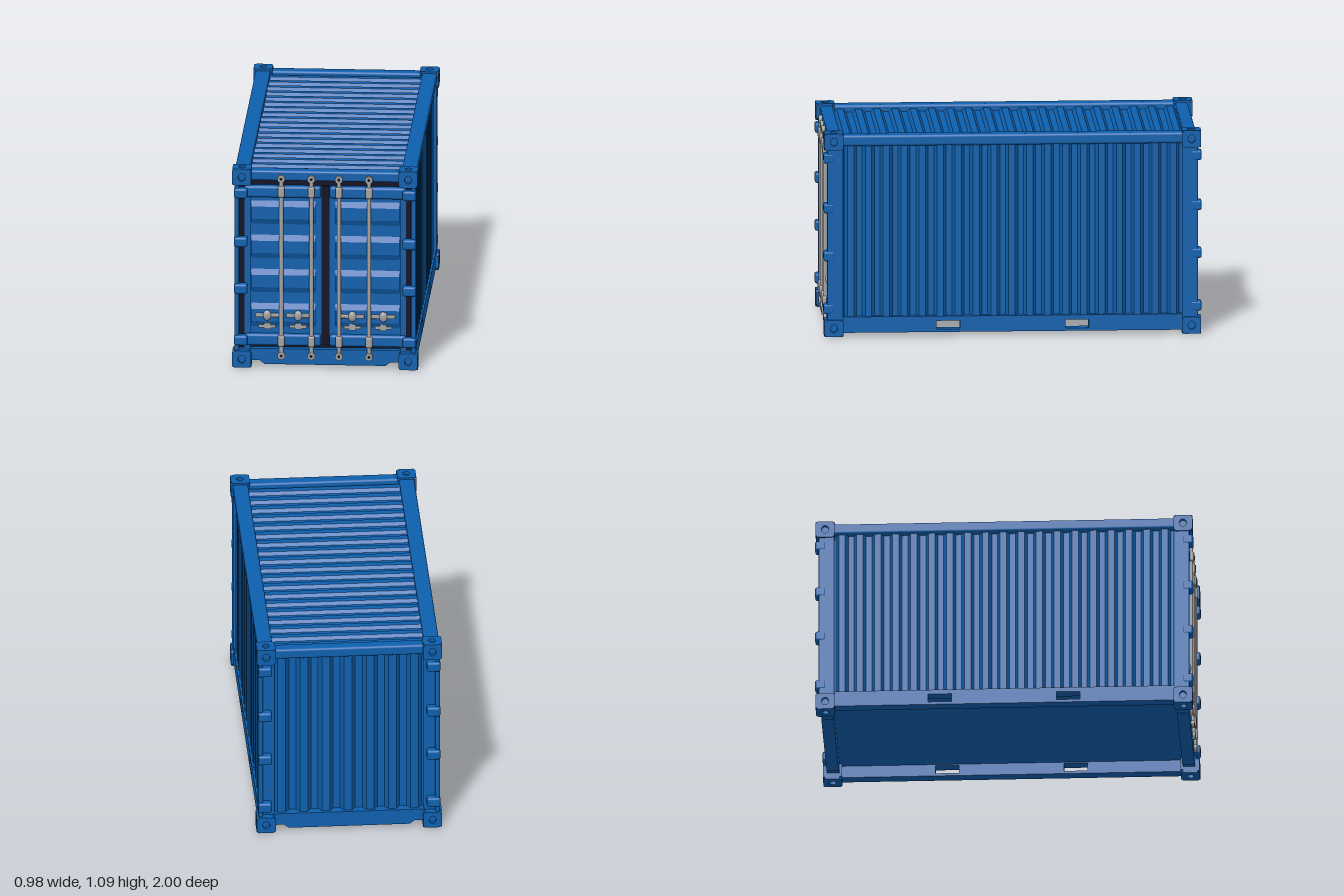
import * as THREE from 'three';
import { RoundedBoxGeometry } from 'three/addons/geometries/RoundedBoxGeometry.js';

const mat = (name, color) => {
  const m = new THREE.MeshStandardMaterial({ color });
  m.name = name;
  return m;
};

export function createModel() {
  const blue = mat('containerBlue', 0x0e60ae);
  const steel = mat('steelGrey', 0xa3a3a3);
  const gasket = mat('darkGasket', 0x0e0c22);

  const root = new THREE.Group();
  root.name = 'shippingContainer';

  const add = (name, geo, material, x = 0, y = 0, z = 0, parent = root) => {
    const m = new THREE.Mesh(geo, material);
    m.name = name;
    m.position.set(x, y, z);
    parent.add(m);
    return m;
  };
  // Box given by its min and max on each axis, with optional rounded edges
  const block = (name, material, [x0, x1], [y0, y1], [z0, z1], r = 0, parent = root) => {
    const s = [x1 - x0, y1 - y0, z1 - z0];
    const geo = r ? new RoundedBoxGeometry(...s, 2, r) : new THREE.BoxGeometry(...s);
    return add(name, geo, material, (x0 + x1) / 2, (y0 + y1) / 2, (z0 + z1) / 2, parent);
  };
  // Range from a to b, mirrored when s is negative
  const span = (s, a, b) => (s > 0 ? [a, b] : [-b, -a]);
  const polygon = (pts) => new THREE.Shape(pts.map(([x, y]) => new THREE.Vector2(x, y)));
  const extrude = (shape, depth) => new THREE.ExtrudeGeometry(shape, { depth, bevelEnabled: false, curveSegments: 8 });

  // Corrugated sheet: waves run along x, rise towards y, and extend along z
  const corrugated = (width, length, count, rise) => {
    const p = width / count;
    const pts = [[-width / 2, -0.012]];
    for (let i = 0; i < count; i++) {
      const u = -width / 2 + i * p;
      pts.push([u, 0], [u + p * 0.2, 0], [u + p * 0.36, rise], [u + p * 0.72, rise], [u + p * 0.88, 0]);
    }
    pts.push([width / 2, 0], [width / 2, -0.012]);
    const g = extrude(polygon(pts), length);
    g.translate(0, 0, -length / 2);
    return g;
  };

  // Corner casting: solid core with pierced plates on its three outer faces
  const pierced = (w, h, t) => {
    const c = 0.012, a = w / 2, b = h / 2;
    const s = polygon([[-a + c, -b], [a - c, -b], [a, -b + c], [a, b - c],
      [a - c, b], [-a + c, b], [-a, b - c], [-a, -b + c]]);
    const hole = new THREE.Path();
    hole.absellipse(0, 0, 0.019, 0.022, 0, Math.PI * 2, true);
    s.holes.push(hole);
    return extrude(s, t).translate(0, 0, -t / 2);
  };
  const T = 0.018;
  for (const sx of [-1, 1]) for (const sz of [-1, 1]) for (const top of [0, 1]) {
    const g = new THREE.Group();
    g.name = 'cornerCasting';
    g.position.set(sx * 0.44, top ? 1.045 : 0.045, sz * 0.945);
    root.add(g);
    const sy = top ? 1 : -1;
    add('castingCore', new THREE.BoxGeometry(0.1 - T, 0.09 - T, 0.1 - T), blue,
      -sx * T / 2, -sy * T / 2, -sz * T / 2, g);
    add('castingEndPlate', pierced(0.1, 0.09, T), blue, 0, 0, sz * (0.05 - T / 2), g);
    add('castingSidePlate', pierced(0.1, 0.09, T).rotateY(Math.PI / 2), blue, sx * (0.05 - T / 2), 0, 0, g);
    add('castingFlatPlate', pierced(0.1, 0.1, T).rotateX(Math.PI / 2), blue, 0, sy * (0.045 - T / 2), 0, g);
  }

  // Corner posts, stepped towards the ends, with hinge lugs
  for (const sx of [-1, 1]) for (const sz of [-1, 1]) {
    block('cornerPost', blue, span(sx, 0.455, 0.48), [0.08, 1.01], span(sz, 0.895, 0.98), 0.008);
    block('cornerPostInner', blue, span(sx, 0.395, 0.465), [0.08, 1.01], span(sz, 0.9, 0.958));
    for (const y of [0.147, 0.43, 0.687, 0.955])
      block('hingeLug', blue, span(sx, 0.41, 0.482), [y - 0.027, y + 0.027], span(sz, 0.94, 0.999), 0.012);
  }

  // Bottom side rails with open fork pockets, top side rails, side walls
  for (const sx of [-1, 1]) {
    const rail = polygon([[-0.9, 0.02], [0.9, 0.02], [0.9, 0.105], [-0.9, 0.105]]);
    for (const z of [-0.34, 0.34]) {
      const h = new THREE.Path();
      h.moveTo(z - 0.062, 0.035).lineTo(z - 0.062, 0.08).lineTo(z + 0.062, 0.08).lineTo(z + 0.062, 0.035).closePath();
      rail.holes.push(h);
    }
    add('bottomSideRail', extrude(rail, 0.06).translate(0, 0, -0.03).rotateY(Math.PI / 2), blue, sx * 0.447);
    block('topSideRail', blue, span(sx, 0.4, 0.48), [1.02, 1.08], [-0.91, 0.91], 0.014);
    const wall = corrugated(1.8, 0.94, 19, 0.024).rotateX(-Math.PI / 2).rotateY(-sx * Math.PI / 2);
    add('sideWall', wall, blue, sx * 0.444, 0.565, 0);
  }

  // Roof, floor and back wall
  add('roof', corrugated(1.84, 0.82, 19, 0.016).rotateY(Math.PI / 2), blue, 0, 1.043, 0);
  block('floor', blue, [-0.44, 0.44], [0.086, 0.1], [-0.93, 0.93]);
  add('backWall', corrugated(0.82, 0.94, 7, 0.03).rotateX(-Math.PI / 2), blue, 0, 0.565, -0.925);

  // End headers and notched sills
  for (const sz of [-1, 1]) {
    block('endHeader', blue, [-0.4, 0.4], [1.022, 1.078], span(sz, 0.905, 0.972), 0.012);
    const sill = polygon([[-0.4, 0.1], [-0.4, 0.035], [-0.345, 0.035], [-0.32, 0.015],
      [0.32, 0.015], [0.345, 0.035], [0.4, 0.035], [0.4, 0.1]]);
    add('endSill', extrude(sill, 0.065), blue, 0, 0, sz > 0 ? 0.907 : -0.972);
  }

  // Door opening seals
  block('doorSeal', gasket, [-0.4, 0.4], [0.095, 1.024], [0.9, 0.935]);
  block('centreSeal', gasket, [-0.022, 0.022], [0.12, 0.99], [0.935, 0.948]);

  // Doors with panels, bands, lock bars and handles
  for (const sx of [-1, 1]) {
    block('sideSeal', gasket, span(sx, 0.427, 0.457), [0.1, 1.0], [0.957, 0.964]);
    block('doorLeaf', blue, span(sx, 0.022, 0.41), [0.112, 0.99], [0.93, 0.945]);
    const panel = corrugated(0.75, 0.34, 4, 0.014).rotateY(Math.PI / 2).rotateX(Math.PI / 2);
    add('doorPanel', panel, blue, sx * 0.222, 0.553, 0.946);
    for (const y of [0.147, 0.96])
      block('doorBand', blue, span(sx, 0.022, 0.43), [y - 0.032, y + 0.032], [0.935, 0.972], 0.014);

    for (const x of [sx * 0.073, sx * 0.232]) {
      const bar = new THREE.Group();
      bar.name = 'lockBar';
      bar.position.set(x, 0, 0.977);
      root.add(bar);
      add('rod', new THREE.CylinderGeometry(0.011, 0.011, 0.97, 12), steel, 0, 0.55, 0, bar);
      for (const [yEnd, yGuide] of [[0.065, 0.145], [1.037, 0.965]]) {
        add('lockCam', new THREE.CylinderGeometry(0.021, 0.021, 0.02, 10).rotateX(Math.PI / 2), steel, 0, yEnd, 0.002, bar);
        add('camHole', new THREE.CylinderGeometry(0.008, 0.008, 0.004, 8).rotateX(Math.PI / 2), gasket, 0, yEnd, 0.0115, bar);
        add('rodGuide', new RoundedBoxGeometry(0.036, 0.06, 0.032, 2, 0.01), steel, 0, yGuide, 0, bar);
      }
    }
    for (const x of [sx * 0.143, sx * 0.307]) {
      const handle = new THREE.Group();
      handle.name = 'doorHandle';
      handle.position.set(x, 0.282, 0.966);
      root.add(handle);
      add('handleGrip', new RoundedBoxGeometry(0.128, 0.022, 0.012, 2, 0.005), steel, 0, 0, 0, handle);
      add('handleHub', new THREE.SphereGeometry(0.026, 12, 8).scale(0.85, 1.1, 0.5), steel, 0, 0, 0.003, handle);
      add('handlePlate', new THREE.BoxGeometry(0.09, 0.016, 0.008), steel, 0, -0.062, -0.006, handle);
      add('handleCatch', new THREE.BoxGeometry(0.034, 0.034, 0.008), steel, 0, -0.06, -0.005, handle);
    }
  }
  return root;
}
